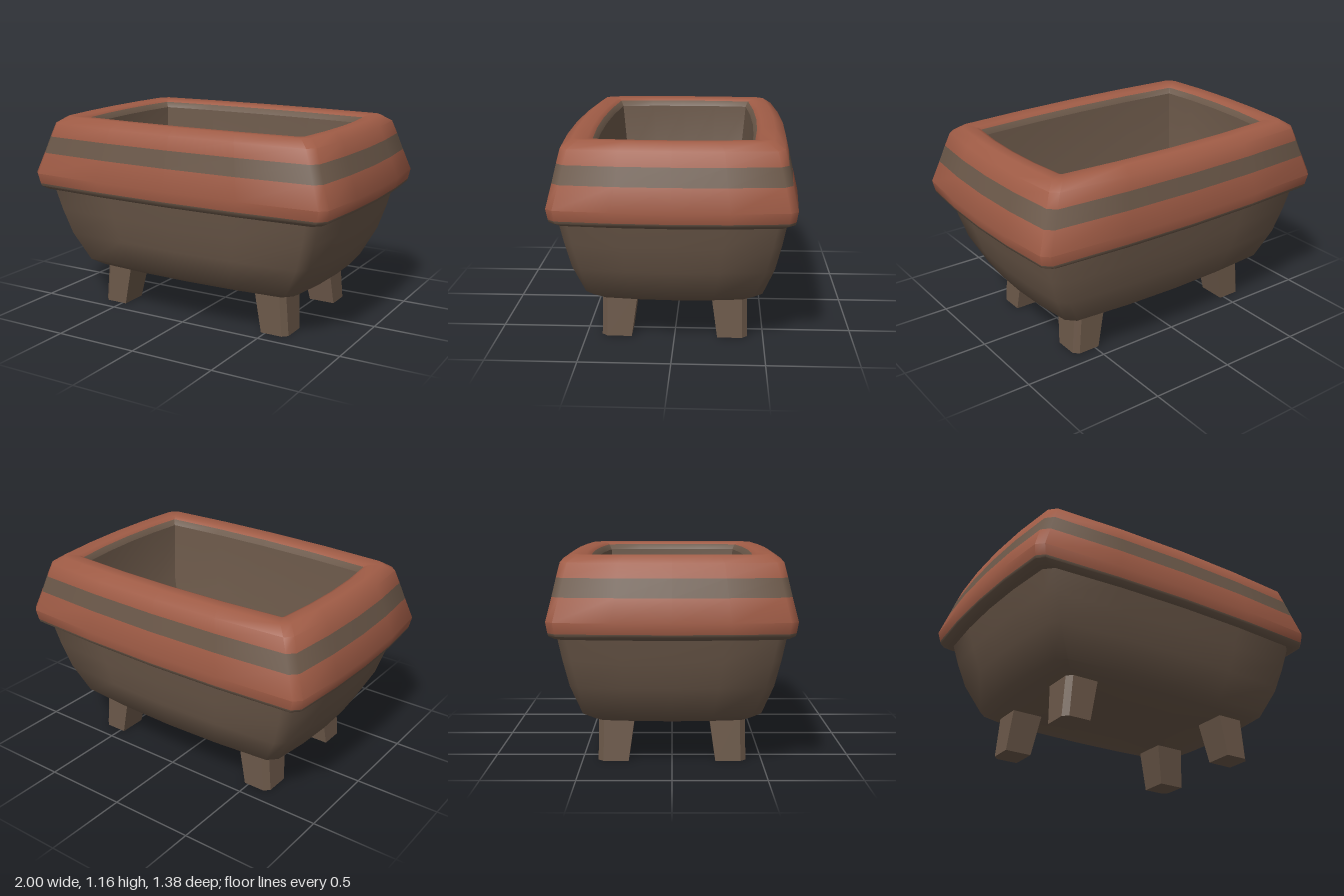
import * as THREE from 'three';
import { toCreasedNormals } from 'three/addons/utils/BufferGeometryUtils.js';

const material = (name, color) => {
  const m = new THREE.MeshStandardMaterial({ color });
  m.name = name;
  return m;
};

// Rectangle with bulging sides (b) and chamfered corners (c), as a ring at height y
function outline(y, hx, hz, b, c) {
  const ez = hz - b - c, ex = hx - b - c;
  const quarter = [
    [hx, 0], [hx - b * 0.25, ez * 0.5], [hx - b, ez],
    [ex, hz - b], [ex * 0.5, hz - b * 0.25], [0, hz],
  ];
  const ring = [];
  for (const [sx, sz] of [[1, 1], [-1, 1], [-1, -1], [1, -1]]) {
    const q = quarter.map(([x, z]) => new THREE.Vector3(x * sx, y, z * sz));
    if (sx * sz < 0) q.reverse();
    ring.push(...q.slice(0, -1));
  }
  return ring;
}

// Skin through the rings; slots picks a material per band, caps close the ends
function loft(rings, { slots = [], bottom = false, top = false, crease = 0.85 } = {}) {
  const n = rings[0].length, pos = [], index = [];
  const geo = new THREE.BufferGeometry();
  rings.flat().forEach((p) => pos.push(p.x, p.y, p.z));
  for (let i = 0; i < rings.length - 1; i++) {
    const start = index.length;
    for (let j = 0; j < n; j++) {
      const k = (j + 1) % n, a = i * n + j, b = i * n + k;
      index.push(a, a + n, b, b, a + n, b + n);
    }
    if (slots.length) geo.addGroup(start, index.length - start, slots[i]);
  }
  const cap = (row, up) => {
    const centre = new THREE.Vector3();
    rings[row].forEach((p) => centre.addScaledVector(p, 1 / n));
    const m = pos.length / 3;
    pos.push(centre.x, centre.y, centre.z);
    for (let j = 0; j < n; j++) {
      const a = row * n + j, b = row * n + ((j + 1) % n);
      index.push(m, up ? b : a, up ? a : b);
    }
  };
  if (bottom) cap(0, false);
  if (top) cap(rings.length - 1, true);
  geo.setAttribute('position', new THREE.Float32BufferAttribute(pos, 3));
  geo.setIndex(index);
  return toCreasedNormals(geo, crease);
}

export function createModel() {
  const brown = material('brown clay', 0x6b5849);
  const terracotta = material('terracotta glaze', 0xa05c46);
  const group = new THREE.Group();
  group.name = 'planter';
  const add = (name, geo, mat) => {
    const mesh = new THREE.Mesh(geo, mat);
    mesh.name = name;
    group.add(mesh);
  };
  const rings = (rows) => rows.map((r) => outline(...r));

  // Tapered tub below the rim
  add('body', loft(rings([
    [0.24, 0.69, 0.46, 0.03, 0.05],
    [0.28, 0.755, 0.525, 0.035, 0.05],
    [0.45, 0.84, 0.585, 0.035, 0.05],
    [0.6, 0.885, 0.617, 0.035, 0.05],
    [0.74, 0.918, 0.642, 0.035, 0.05],
  ]), { bottom: true }), brown);

  // Thick sloping rim with a brown stripe, rolling over into the opening
  add('rim', loft(rings([
    [0.725, 0.88, 0.6, 0.035, 0.05],
    [0.725, 0.945, 0.65, 0.035, 0.04],
    [0.745, 0.982, 0.676, 0.035, 0.04],
    [0.76, 0.986, 0.679, 0.035, 0.04],
    [0.82, 1.0, 0.69, 0.037, 0.04],
    [0.945, 0.955, 0.661, 0.037, 0.04],
    [1.043, 0.919, 0.638, 0.035, 0.04],
    [1.12, 0.89, 0.62, 0.035, 0.04],
    [1.16, 0.83, 0.56, 0.03, 0.04],
    [1.155, 0.765, 0.485, 0.03, 0.015],
    [1.143, 0.74, 0.46, 0.03, 0.005],
    [1.11, 0.72, 0.44, 0.027, 0],
  ]), { slots: [0, 0, 0, 1, 1, 0, 1, 1, 1, 1, 0] }), [brown, terracotta]);

  // Hollow inside, walls and floor
  add('hollow', loft(rings([
    [1.11, 0.72, 0.44, 0.027, 0],
    [0.75, 0.7, 0.405, 0.025, 0],
    [0.32, 0.56, 0.31, 0.02, 0],
  ]), { top: true, crease: 0.6 }), brown);

  // Four splayed feet, each with its outer corner cut off
  const footRing = (y, x0, x1, z0, z1, c, sx, sz) => {
    const ring = [[x1, z0], [x1, z1 - c], [x1 - c, z1], [x0, z1], [x0, z0]]
      .map(([x, z]) => new THREE.Vector3(x * sx, y, z * sz));
    return sx * sz < 0 ? ring.reverse() : ring;
  };
  for (const sx of [1, -1]) for (const sz of [1, -1]) {
    const name = (sz > 0 ? 'front' : 'back') + (sx > 0 ? 'Left' : 'Right') + 'Foot';
    add(name, loft([
      footRing(0, 0.475, 0.636, 0.242, 0.412, 0.03, sx, sz),
      footRing(0.27, 0.425, 0.613, 0.204, 0.408, 0.03, sx, sz),
    ], { bottom: true, top: true, crease: 0.5 }), brown);
  }
  return group;
}
